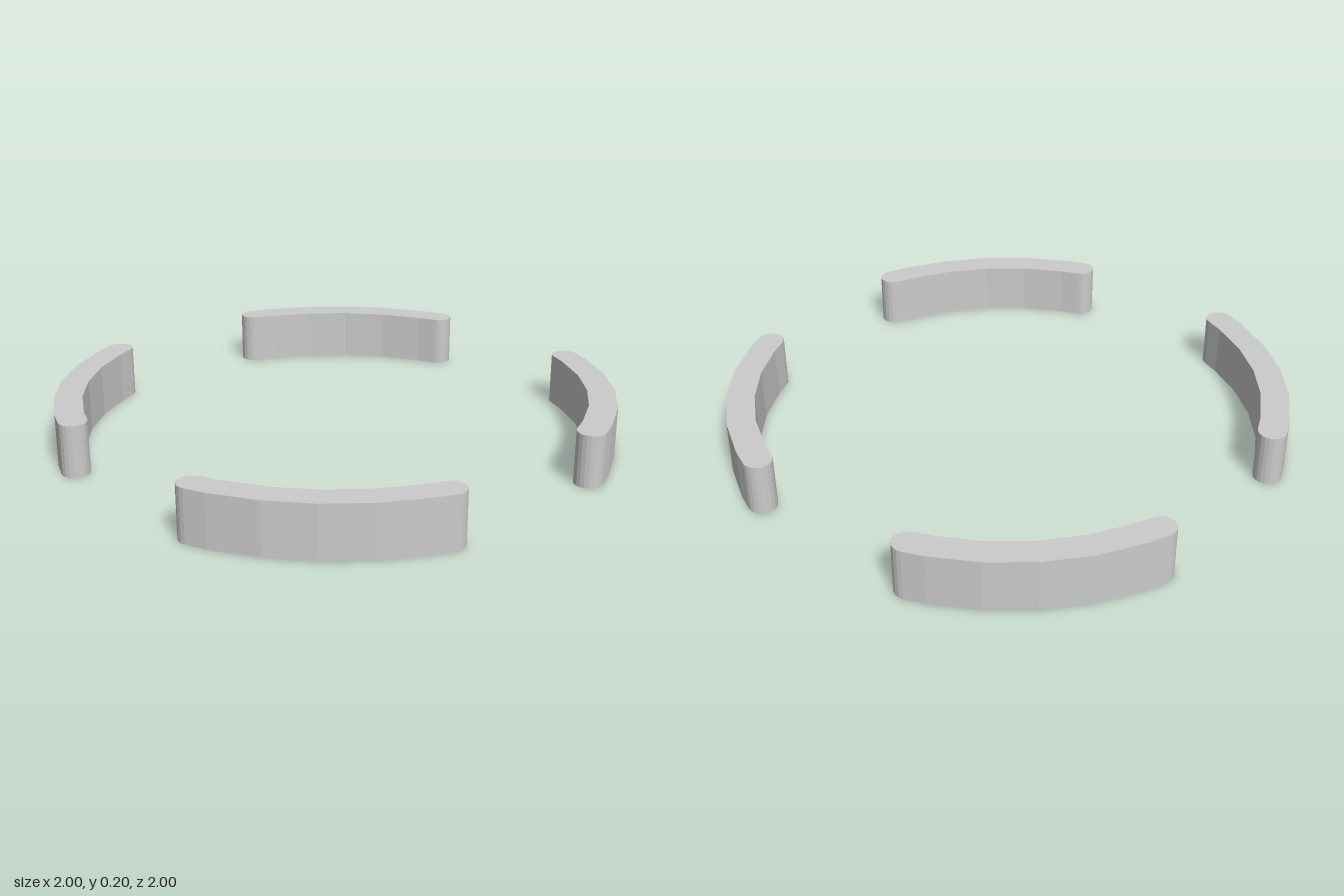
import * as THREE from 'three';

const RADIUS = 1.0125, HALF_WIDTH = 0.053, HEIGHT = 0.2;
const rad = THREE.MathUtils.degToRad;
const polar = (r, a, cx = 0, cy = 0) => new THREE.Vector2(cx + r * Math.cos(a), cy + r * Math.sin(a));

// Outline of one curved bar with rounded ends, running counter-clockwise
function barShape() {
  const angles = [20.7, 25, 35, 45, 55, 65, 69.3].map(rad);
  const first = angles[0], last = angles[angles.length - 1];
  const capSteps = 10;
  const cap = (at, start) => {
    const c = polar(RADIUS, at), points = [];
    for (let i = 1; i < capSteps; i++) {
      points.push(polar(HALF_WIDTH, start + Math.PI * i / capSteps, c.x, c.y));
    }
    return points;
  };
  return new THREE.Shape([
    ...angles.map(a => polar(RADIUS + HALF_WIDTH, a)),
    ...cap(last, last),
    ...[...angles].reverse().map(a => polar(RADIUS - HALF_WIDTH, a)),
    ...cap(first, first + Math.PI),
  ]);
}

export function createModel() {
  const model = new THREE.Group();
  model.name = 'segmentedRing';
  const material = new THREE.MeshStandardMaterial({ color: 0xcccccc, flatShading: true });

  // Extrude upwards from the ground
  const geometry = new THREE.ExtrudeGeometry(barShape(), { depth: HEIGHT, bevelEnabled: false });
  geometry.rotateX(-Math.PI / 2);

  // Four equal bars, a quarter turn apart
  ['backLeftBar', 'backRightBar', 'frontRightBar', 'frontLeftBar'].forEach((name, i) => {
    const bar = new THREE.Mesh(geometry, material);
    bar.name = name;
    bar.rotation.y = i * Math.PI / 2;
    model.add(bar);
  });
  return model;
}
